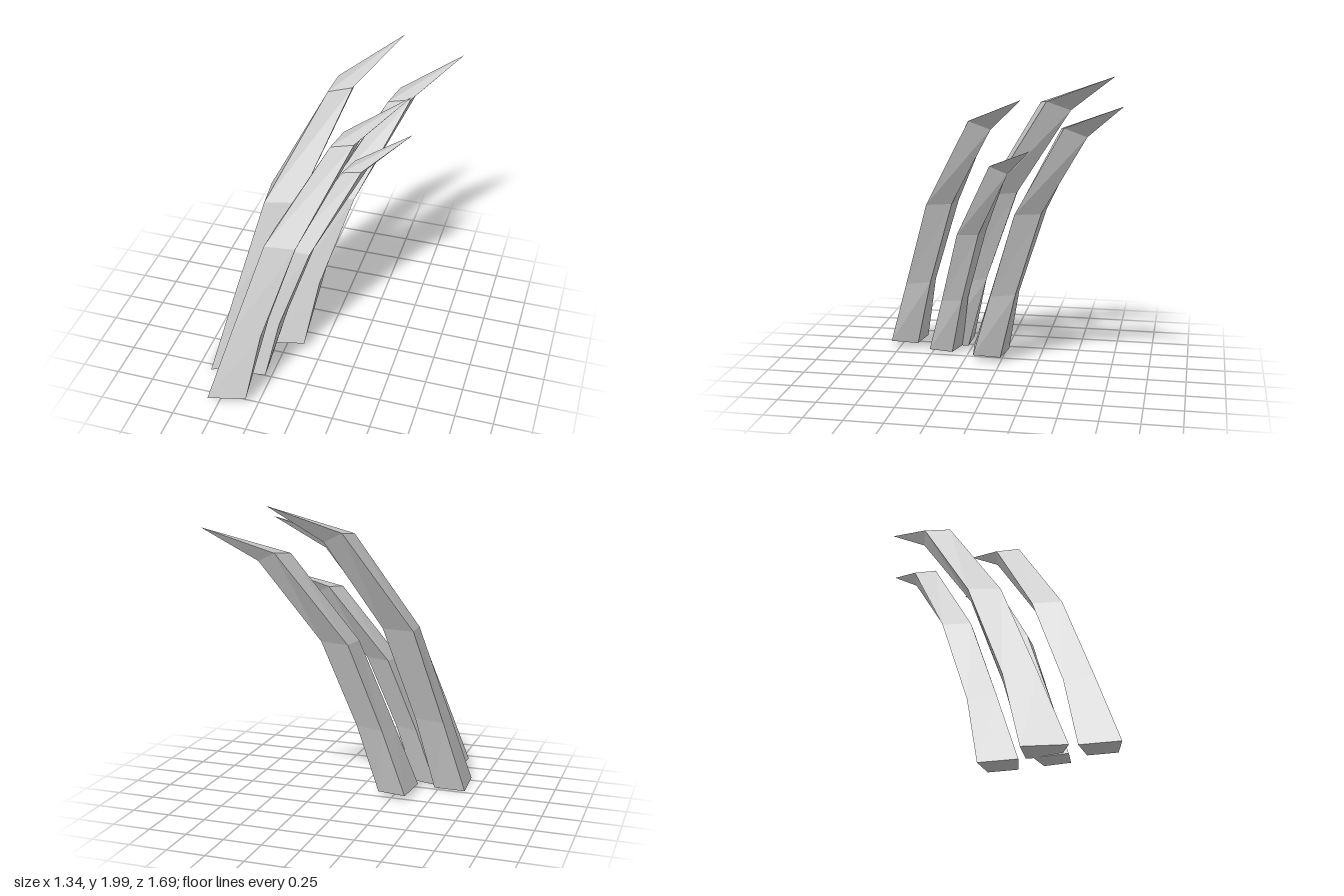
import * as THREE from 'three';

// Four-cornered cross-sections of one blade, from base to neck, in order
// upper ridge, one side, lower ridge, other side; measured from the base ridge corner.
const rings = [
  [[0, 0, 0], [0.25, 0.02, -0.04], [0.21, 0, -0.22], [0.02, 0, -0.25]],
  [[0.13, 0.46, -0.15], [0.32, 0.46, -0.17], [0.32, 0.48, -0.34], [0.15, 0.46, -0.34]],
  [[0.30, 1.05, -0.35], [0.50, 1.06, -0.36], [0.49, 1.07, -0.53], [0.31, 1.06, -0.54]],
  [[0.63, 1.64, -0.67], [0.77, 1.66, -0.70], [0.77, 1.61, -0.84], [0.67, 1.66, -0.83]],
];
const tip = [1.03, 1.83, -1.07];

// Joins the rings with quads, closes the base and draws the neck to a point.
function bladeGeometry() {
  const pos = [];
  const tri = (a, b, c) => pos.push(...a, ...b, ...c);
  const [p, q, r, s] = rings[0];
  tri(p, r, q);
  tri(p, s, r);
  rings.forEach((ring, i) => {
    const next = rings[i + 1];
    for (let j = 0; j < 4; j++) {
      const k = (j + 1) % 4;
      if (next) {
        tri(ring[j], ring[k], next[k]);
        tri(ring[j], next[k], next[j]);
      } else {
        tri(ring[j], ring[k], tip);
      }
    }
  });
  const geometry = new THREE.BufferGeometry();
  geometry.setAttribute('position', new THREE.Float32BufferAttribute(pos, 3));
  geometry.computeVertexNormals();
  return geometry;
}

export function createModel() {
  const group = new THREE.Group();
  group.name = 'grassClump';
  const geometry = bladeGeometry();
  const material = new THREE.MeshStandardMaterial({ color: 0xcccccc, flatShading: true });

  // Each blade is the same shape, placed, turned and scaled
  const blades = [
    { name: 'tallBlade', at: [-0.66, 0.005, 0.55], turn: 0.148, scale: 1.09 },
    { name: 'frontBlade', at: [-0.57, 0.04, 0.84], turn: 0, scale: 1 },
    { name: 'backBlade', at: [-0.37, 0.04, 0.22], turn: 0, scale: 1 },
    { name: 'shortBlade', at: [-0.50, 0.01, 0.53], turn: -0.105, scale: 0.85 },
  ];
  for (const { name, at, turn, scale } of blades) {
    const blade = new THREE.Mesh(geometry, material);
    blade.name = name;
    blade.position.set(...at);
    blade.rotation.y = turn;
    blade.scale.setScalar(scale);
    group.add(blade);
  }
  return group;
}
